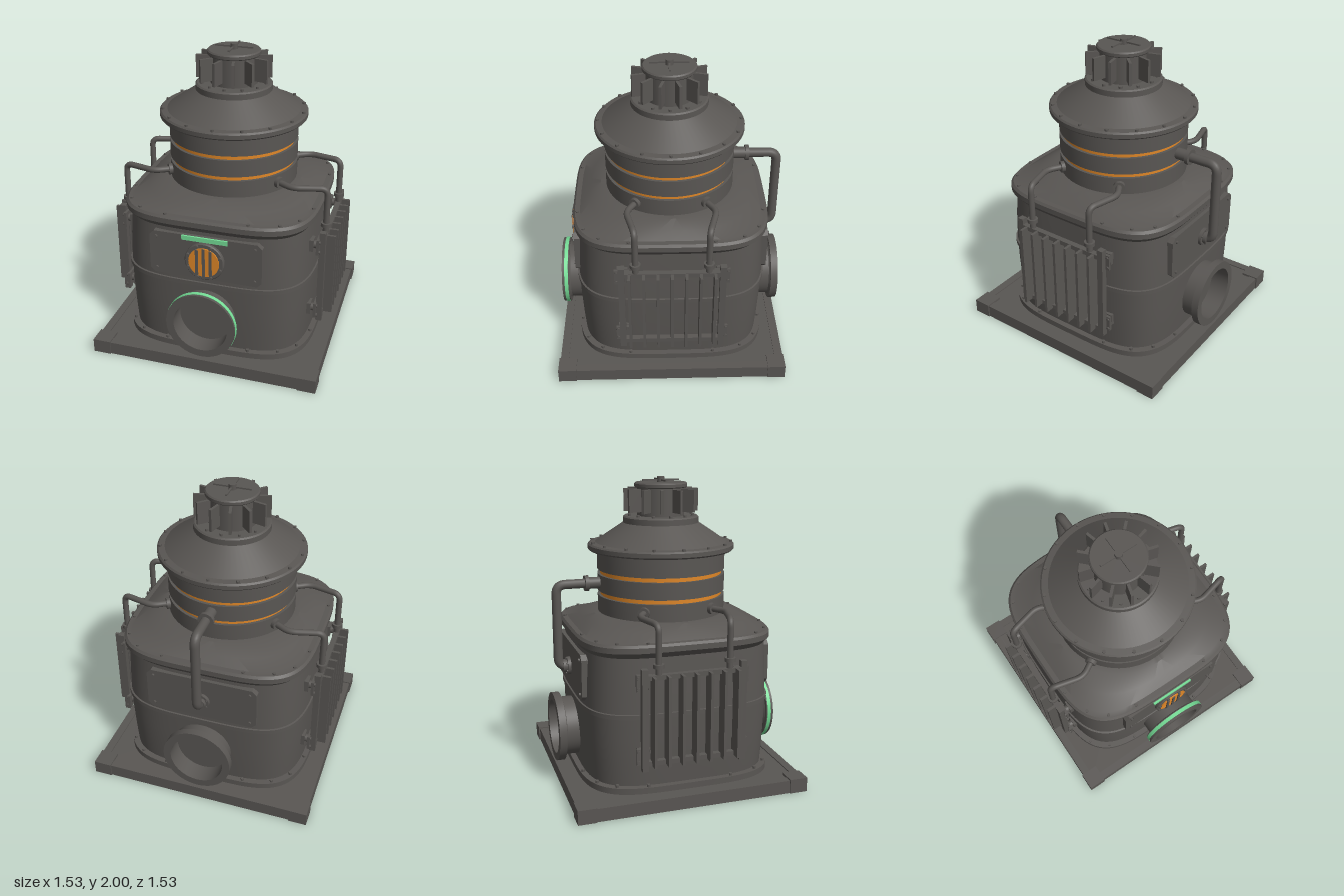
import * as THREE from 'three';
import { toCreasedNormals } from 'three/addons/utils/BufferGeometryUtils.js';

const paint = (name, color) => {
  const m = new THREE.MeshStandardMaterial({ color });
  m.name = name;
  return m;
};

// Point on a rounded-square (superellipse) outline
function outline(t, a, n) {
  const c = Math.cos(t), s = Math.sin(t);
  return [a * Math.sign(c) * Math.abs(c) ** (2 / n), a * Math.sign(s) * Math.abs(s) ** (2 / n)];
}

// Skin through horizontal sections [y, half width, exponent]
function loft(sections, seg = 96) {
  const pos = [], idx = [];
  sections.forEach(([y, a, n = 4]) => {
    for (let i = 0; i < seg; i++) {
      const [x, z] = outline((i / seg) * Math.PI * 2, a, n);
      pos.push(x, y, z);
    }
  });
  for (let j = 0; j < sections.length - 1; j++) {
    for (let i = 0; i < seg; i++) {
      const a = j * seg + i, b = j * seg + (i + 1) % seg;
      idx.push(a, a + seg, b, b, a + seg, b + seg);
    }
  }
  const g = new THREE.BufferGeometry();
  g.setAttribute('position', new THREE.Float32BufferAttribute(pos, 3));
  g.setIndex(idx);
  return toCreasedNormals(g, 0.4);
}

const turned = (pts, seg = 64) =>
  toCreasedNormals(new THREE.LatheGeometry(pts.map(p => new THREE.Vector2(p[0], p[1])), seg), 0.4);

// Pipe with straight runs and rounded bends
function pipe(points, r, bend) {
  const p = points.map(q => new THREE.Vector3(...q));
  const path = new THREE.CurvePath();
  let from = p[0];
  for (let i = 1; i < p.length - 1; i++) {
    const a = p[i].clone().add(p[i - 1].clone().sub(p[i]).setLength(bend));
    const b = p[i].clone().add(p[i + 1].clone().sub(p[i]).setLength(bend));
    path.add(new THREE.LineCurve3(from, a));
    path.add(new THREE.QuadraticBezierCurve3(a, p[i], b));
    from = b;
  }
  path.add(new THREE.LineCurve3(from, p[p.length - 1]));
  return new THREE.TubeGeometry(path, 80, r, 14, false);
}

export function createModel() {
  const root = new THREE.Group();
  root.name = 'machine';
  const metal = paint('dark metal', 0x595653);
  const orange = paint('orange glow', 0xdf8728);
  const green = paint('green marking', 0x76de97);

  const add = (parent, name, geo, mat = metal, x = 0, y = 0, z = 0) => {
    const m = new THREE.Mesh(geo, mat);
    m.name = name;
    m.position.set(x, y, z);
    parent.add(m);
    return m;
  };
  const group = name => {
    const g = new THREE.Group();
    g.name = name;
    root.add(g);
    return g;
  };
  const box = (w, h, d) => new THREE.BoxGeometry(w, h, d);
  const cyl = (r, h, s = 24) => new THREE.CylinderGeometry(r, r, h, s);
  const boltGeo = cyl(0.011, 0.024, 8);

  // Base: thin raised floor, edge bars and corner blocks, hollow underneath
  const base = group('base');
  add(base, 'floorPlate', box(1.42, 0.012, 1.42), metal, 0, 0.074, 0);
  for (const s of [-1, 1]) {
    add(base, 'edgeBar', box(1.5, 0.087, 0.055), metal, 0, 0.0435, s * 0.7275);
    add(base, 'edgeBar', box(0.055, 0.087, 1.5), metal, s * 0.7275, 0.0435, 0);
    for (const t of [-1, 1]) add(base, 'cornerBlock', box(0.12, 0.095, 0.12), metal, s * 0.703, 0.0475, t * 0.703);
  }

  // Housing with waist band and sloped lid
  const housing = group('housing');
  add(housing, 'footFlange', loft([[0.075, 0.645], [0.12, 0.645], [0.122, 0.58]]));
  add(housing, 'shell', loft([[0.11, 0.608], [0.25, 0.617], [0.42, 0.624], [0.572, 0.627], [0.574, 0.637],
    [0.602, 0.637], [0.604, 0.627], [0.78, 0.622], [0.96, 0.612]]));
  add(housing, 'lid', loft([[0.955, 0.6], [0.958, 0.612], [0.995, 0.641], [1.03, 0.641], [1.045, 0.628],
    [1.047, 0.595], [1.085, 0.535, 2.8], [1.12, 0.46, 2], [1.122, 0.4, 2]]));
  for (let i = 0; i < 16; i++) {
    const t = (i + 0.5) * Math.PI / 8;
    const [x, z] = outline(t, 0.612, 4), [fx, fz] = outline(t, 0.628, 4);
    add(housing, 'lidBolt', boltGeo, metal, x, 1.044, z);
    add(housing, 'footBolt', boltGeo, metal, fx, 0.125, fz);
  }

  // Round tower with glowing grooves and conical cap
  const tower = group('tower');
  add(tower, 'drum', turned([[0.425, 1.1], [0.425, 1.233], [0.4, 1.233], [0.4, 1.262], [0.425, 1.262],
    [0.425, 1.373], [0.4, 1.373], [0.4, 1.402], [0.425, 1.402], [0.425, 1.54]]));
  for (const y of [1.2475, 1.3875]) add(tower, 'glowRing', new THREE.CylinderGeometry(0.407, 0.407, 0.0285, 64, 1, true), orange, 0, y, 0);
  add(tower, 'cap', turned([[0.4, 1.528], [0.475, 1.528], [0.485, 1.538], [0.485, 1.565], [0.475, 1.575], [0.435, 1.58],
    [0.25, 1.705], [0.25, 1.742], [0.24, 1.75], [0, 1.75]]));
  for (let i = 0; i < 16; i++) {
    const a = i * Math.PI / 8;
    add(tower, 'capBolt', boltGeo, metal, Math.sin(a) * 0.463, 1.577, Math.cos(a) * 0.463);
  }

  // Finned vent on top
  const vent = group('vent');
  add(vent, 'ventCore', cyl(0.155, 0.2, 48), metal, 0, 1.84, 0);
  add(vent, 'ventCap', turned([[0, 1.932], [0.168, 1.932], [0.173, 1.938], [0.173, 1.957], [0.165, 1.965], [0, 1.965]]));
  add(vent, 'hub', cyl(0.025, 0.04), metal, 0, 1.98, 0);
  add(vent, 'crossBar', box(0.25, 0.01, 0.012), metal, 0, 1.979, 0);
  add(vent, 'crossBar', box(0.012, 0.01, 0.25), metal, 0, 1.979, 0);
  for (let i = 0; i < 12; i++) {
    const a = i * Math.PI / 6, f = a + Math.PI / 12;
    add(vent, 'ventBolt', boltGeo, metal, Math.sin(a) * 0.213, 1.752, Math.cos(a) * 0.213);
    add(vent, 'ventFin', box(0.018, 0.148, 0.1), metal, Math.sin(f) * 0.195, 1.851, Math.cos(f) * 0.195).rotation.y = f;
  }

  // Chamfered panel and round duct on front and back
  const panelShape = new THREE.Shape([[-0.37, 0.665], [-0.34, 0.635], [0.34, 0.635], [0.37, 0.665],
    [0.37, 0.905], [0.34, 0.935], [-0.34, 0.935], [-0.37, 0.905]].map(p => new THREE.Vector2(...p)));
  const panelGeo = new THREE.ExtrudeGeometry(panelShape, { depth: 0.05, bevelEnabled: false });
  const ductGeo = turned([[0.195, 0.58], [0.195, 0.7], [0.205, 0.71], [0.23, 0.71], [0.23, 0.758],
    [0.18, 0.758], [0.18, 0.63], [0, 0.63]]);
  for (const side of ['front', 'back']) {
    const g = group(side + 'Face');
    if (side === 'back') g.rotation.y = Math.PI;
    add(g, 'panel', panelGeo, metal, 0, 0, 0.586);
    for (const x of [-0.325, 0.325]) for (const y of [0.672, 0.898])
      add(g, 'panelBolt', boltGeo, metal, x, y, 0.635).rotation.x = Math.PI / 2;
    add(g, 'duct', ductGeo, metal, 0, 0.35, 0).rotation.x = Math.PI / 2;
    if (side === 'back') continue;
    add(g, 'ductBand', turned([[0.229, 0.716], [0.233, 0.716], [0.233, 0.741], [0.229, 0.741]]), green, 0, 0.35, 0).rotation.x = Math.PI / 2;
    add(g, 'greenLight', box(0.3, 0.03, 0.03), green, 0, 0.92, 0.633);
    // Porthole with raised glass behind bars
    add(g, 'portholeRing', turned([[0.13, 0.62], [0.13, 0.652], [0.124, 0.658], [0.1, 0.658]], 48), metal, 0, 0.77, 0).rotation.x = Math.PI / 2;
    add(g, 'portholeGlass', cyl(0.101, 0.036, 48), orange, 0, 0.77, 0.648).rotation.x = Math.PI / 2;
    for (const x of [-0.045, 0, 0.045])
      add(g, 'portholeBar', box(0.018, 2 * Math.sqrt(0.01 - x * x), 0.014), metal, x, 0.77, 0.666);
    for (let i = 0; i < 8; i++) {
      const a = (i + 0.5) * Math.PI / 4;
      add(g, 'portholeBolt', boltGeo, metal, Math.sin(a) * 0.115, 0.77 + Math.cos(a) * 0.115, 0.658).rotation.x = Math.PI / 2;
    }
  }

  // Side radiators: open rows of fins on rails, with brackets and feed pipes
  for (const s of [1, -1]) {
    const g = group(s > 0 ? 'leftRadiator' : 'rightRadiator');
    g.rotation.y = s > 0 ? 0 : Math.PI;
    for (let i = -3; i <= 3; i++) add(g, 'fin', box(0.09, 0.575, 0.018), metal, 0.715, 0.585, i * 0.09);
    for (const y of [0.31, 0.86]) add(g, 'rail', box(0.036, 0.03, 0.62), metal, 0.687, y, 0);
    for (const z of [-1, 1]) {
      add(g, 'post', box(0.04, 0.655, 0.04), metal, 0.685, 0.5875, z * 0.32);
      for (const y of [0.345, 0.82]) {
        add(g, 'bracketPlate', box(0.018, 0.105, 0.1), metal, 0.66, y, z * 0.315);
        add(g, 'bracketArm', cyl(0.026, 0.09), metal, 0.62, y, z * 0.315).rotation.z = Math.PI / 2;
        add(g, 'wallPad', box(0.03, 0.08, 0.07), metal, 0.615, y, z * 0.315);
        for (const d of [-0.035, 0.035]) for (const e of [0.28, 0.353])
          add(g, 'bracketBolt', boltGeo, metal, 0.665, y + d, z * e).rotation.z = Math.PI / 2;
      }
      add(g, 'feedPipe', pipe([[0.685, 0.86, z * 0.23], [0.685, 1.18, z * 0.23], [0.465, 1.18, z * 0.285],
        [0.34, 1.18, z * 0.21]], 0.02, 0.05));
      add(g, 'lowerCollar', cyl(0.034, 0.025), metal, 0.685, 0.928, z * 0.23);
      const collar = add(g, 'upperCollar', cyl(0.037, 0.03), metal, 0.369, 1.18, z * 0.228);
      collar.quaternion.setFromUnitVectors(new THREE.Vector3(0, 1, 0), new THREE.Vector3(0.85, 0, z * 0.527).normalize());
    }
  }

  // Return pipe behind the tower
  const back = group('returnPipe');
  add(back, 'pipe', pipe([[0, 1.32, -0.4], [0, 1.32, -0.712], [0, 0.77, -0.712], [0, 0.77, -0.61]], 0.031, 0.06));
  const ringAt = (name, r, h, y, z) => { add(back, name, cyl(r, h, 32), metal, 0, y, z).rotation.x = Math.PI / 2; };
  ringAt('pipeStub', 0.038, 0.09, 1.32, -0.46);
  ringAt('pipeCollar', 0.052, 0.025, 1.32, -0.512);
  ringAt('wallFlange', 0.06, 0.025, 0.77, -0.645);
  ringAt('wallCollar', 0.043, 0.03, 0.77, -0.668);
  for (let i = 0; i < 6; i++) {
    const a = i * Math.PI / 3;
    add(back, 'flangeBolt', cyl(0.007, 0.02, 8), metal, Math.sin(a) * 0.05, 0.77 + Math.cos(a) * 0.05, -0.655).rotation.x = Math.PI / 2;
  }
  return root;
}
